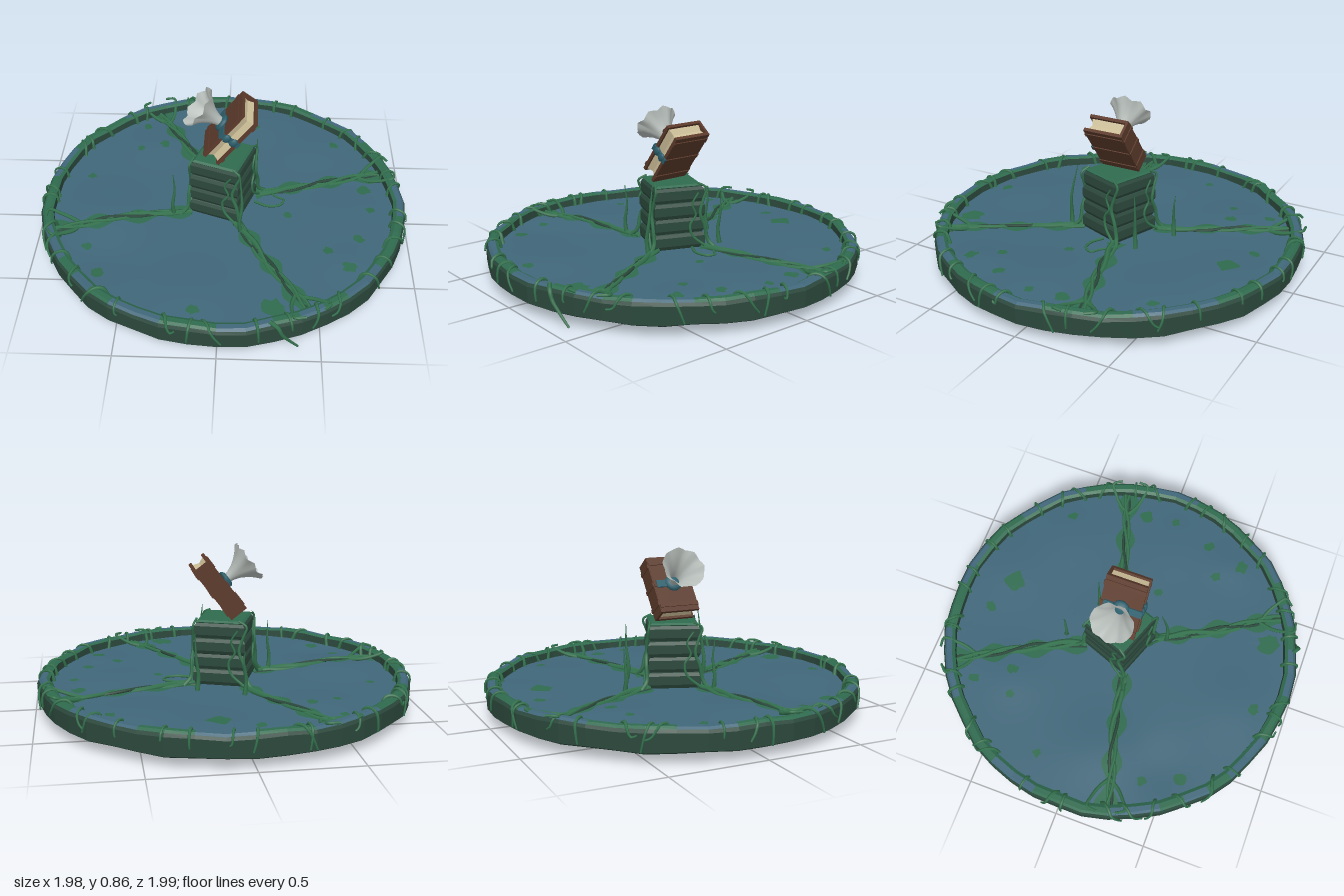
import * as THREE from 'three';

const mat = (name, color, double) => {
  const m = new THREE.MeshStandardMaterial({ color });
  m.name = name;
  if (double) m.side = THREE.DoubleSide;
  return m;
};

// small seeded generator
let seed = 7;
const rnd = (a = 0, b = 1) => {
  seed = (seed * 16807) % 2147483647;
  return a + (b - a) * seed / 2147483647;
};

const V = (x, y, z) => new THREE.Vector3(x, y, z);

// move every vertex by a rule, then facet if wanted
function warp(g, rule, faceted) {
  const p = g.attributes.position, v = new THREE.Vector3();
  for (let i = 0; i < p.count; i++) {
    rule(v.fromBufferAttribute(p, i));
    p.setXYZ(i, v.x, v.y, v.z);
  }
  const out = faceted ? g.toNonIndexed() : g;
  out.computeVertexNormals();
  return out;
}

// tube narrowing from r0 to r1
function taperTube(points, r0, r1, steps = points.length * 5) {
  const curve = new THREE.CatmullRomCurve3(points), sides = 5;
  const g = new THREE.TubeGeometry(curve, steps, 1, sides, false);
  const p = g.attributes.position;
  for (let i = 0; i <= steps; i++) {
    const c = curve.getPointAt(i / steps), r = r0 + (r1 - r0) * i / steps;
    for (let j = 0; j <= sides; j++) {
      const k = i * (sides + 1) + j;
      p.setXYZ(k, c.x + (p.getX(k) - c.x) * r, c.y + (p.getY(k) - c.y) * r, c.z + (p.getZ(k) - c.z) * r);
    }
  }
  return g;
}

const lathe = (pts, segs, start, len) =>
  new THREE.LatheGeometry(pts.map(p => new THREE.Vector2(...p)), segs, start, len);

// gently swollen slab surface: x, z, radius, height
const swells = [[-0.62, 0.1, 0.2, 0.018], [-0.4, -0.5, 0.16, 0.014], [0.2, -0.75, 0.2, 0.014], [0.5, -0.5, 0.2, 0.012],
  [0.65, 0.1, 0.22, 0.012], [-0.15, 0.7, 0.2, 0.014], [-0.6, 0.45, 0.14, -0.012], [0.65, 0.45, 0.12, 0.014]];
const ground = (x, z) => swells.reduce((y, [a, b, r, h]) =>
  y + h * Math.exp(-((x - a) ** 2 + (z - b) ** 2) / (r * r)), 0.128);

export function createModel() {
  seed = 7;
  const root = new THREE.Group();
  const slab = mat('slab blue', 0x40677a, true), stone = mat('dark stone', 0x2c493d), moss = mat('moss', 0x2f6b4f),
    vine = mat('vine green', 0x35744f), teal = mat('teal metal', 0x2c5f6c), leather = mat('book leather', 0x5c3a2b),
    paper = mat('paper', 0xcdbf98), petal = mat('horn grey', 0xb9c0bc, true);
  const add = (name, g, m, parent = root) => {
    const mesh = new THREE.Mesh(g, m);
    mesh.name = name;
    parent.add(mesh);
    return mesh;
  };

  // round slab floor
  add('floor', warp(new THREE.RingGeometry(0.05, 0.935, 72, 18).rotateX(-Math.PI / 2),
    v => { v.y = ground(v.x, v.z); }), slab);

  // stone rim: dark walls and a mottled cap
  const rough = v => {
    const a = Math.atan2(v.x, v.z), k = 1 + 0.004 * Math.sin(a * 17) + 0.004 * Math.sin(a * 9 + 1);
    v.x *= k; v.z *= k;
    v.y += 0.004 * Math.sin(a * 13 + v.y * 20);
  };
  const SEG = 44, step = Math.PI * 2 / SEG;
  add('rimOuterWall', warp(lathe([[0.922, 0.056], [0.965, 0.053], [0.98, 0.062], [0.983, 0.15], [0.974, 0.166]], SEG), rough, true), stone);
  add('rimInnerWall', warp(lathe([[0.918, 0.168], [0.915, 0.12], [0.922, 0.056]], SEG), rough, true), stone);
  for (let i = 0; i < SEG; i++) {
    const outer = (i % 5 < 2 || i % 7 === 3) ? slab : moss;
    add('rimCap', warp(lathe([[0.974, 0.166], [0.962, 0.177], [0.935, 0.177]], 1, i * step, step), rough, true), outer);
    add('rimCapEdge', warp(lathe([[0.935, 0.177], [0.918, 0.168]], 1, i * step, step), rough, true), moss);
  }

  // vines wrapped over the rim
  for (let i = 0; i < 38; i++) {
    const a = i / 38 * Math.PI * 2 + rnd(-0.07, 0.07), skew = rnd(-0.09, 0.09), end = rnd(0.06, 0.15);
    const at = (r, y, t) => V(r * Math.sin(a + skew * t), y, r * Math.cos(a + skew * t));
    add('rimVine', taperTube([at(0.905, 0.125, -0.3), at(0.92, 0.177, 0), at(0.95, 0.184, 0.3),
      at(0.98, 0.168, 0.5), at(0.989, 0.13, 0.8), at(0.987, end, 1.2)], rnd(0.008, 0.012), 0.005, 14), vine);
  }
  add('hangingVine', taperTube([V(0.25, 0.18, 0.92), V(0.29, 0.165, 0.945), V(0.31, 0.12, 0.945), V(0.34, 0.07, 0.93),
    V(0.39, 0.005, 0.91)], 0.012, 0.006), vine);

  // four root spokes growing from the pedestal corners to the rim
  const spokes = [[-0.08, -0.17, -0.42, -0.86], [0.17, -0.08, 0.9, -0.27], [0.08, 0.17, 0.45, 0.83], [-0.17, 0.08, -0.89, 0.25]];
  spokes.forEach(([x0, z0, x1, z1], s) => {
    const len = Math.hypot(x1 - x0, z1 - z0), nx = -(z1 - z0) / len, nz = (x1 - x0) / len;
    const on = (t, off, up = 0) => {
      const x = x0 + (x1 - x0) * t + nx * off, z = z0 + (z1 - z0) * t + nz * off;
      return V(x, ground(x, z) + up, z);
    };
    for (let k = 0; k < 3; k++) {
      const pts = [];
      for (let i = 0; i <= 8; i++)
        pts.push(on(i / 8, 0.016 * Math.sin(i * 1.3 + k * 2.1 + s) + 0.012 * Math.sin(i * 0.6), 0.004 + 0.006 * Math.sin(i + k * 2)));
      add('rootSpoke', taperTube(pts, [0.017, 0.012, 0.009][k], 0.009), k === 2 ? stone : vine);
    }
    // forked tip hooked over the rim
    for (const side of [-1, 1])
      add('rootFork', taperTube([on(0.8, 0), on(0.87, side * 0.05, 0.012), on(0.94, side * 0.08, 0.03),
        on(1.02, side * 0.1, 0.054), on(1.05, side * 0.05, 0.054)], 0.012, 0.007), vine);
    // mossy border of irregular width
    const edge = new THREE.PlaneGeometry(1, 1, 28, 4).rotateX(-Math.PI / 2);
    add('rootMoss', warp(edge, v => {
      const t = v.x + 0.5, w = 0.035 + 0.022 * Math.sin(t * 21 + s * 2) + 0.05 * Math.max(0, t - 0.75);
      v.copy(on(t, v.z * 2 * w, 0.003));
    }), moss);
    // climbing vine up the pedestal corner
    const c = (k, y, turn = 0) => V(x0 * k - z0 * turn, y, z0 * k + x0 * turn);
    add('cornerVine', taperTube([c(1.35, 0.13), c(1.12, 0.17), c(1.05, 0.25, 0.06), c(0.95, 0.32, 0.15),
      c(1, 0.39, 0.06), c(1.05, 0.45, -0.03), c(0.85, 0.478, 0.1)], 0.012, 0.006), vine);
    add('faceVine', taperTube([c(1.1, 0.14, 0.1), c(0.8, 0.2, 0.32), c(0.74, 0.26, 0.35), c(0.85, 0.31, 0.22),
      c(0.78, 0.37, 0.3), c(0.9, 0.43, 0.16)], 0.008, 0.005), vine);
  });

  // moss patches lying on the floor: x, z, radius
  for (const [x, z, r] of [[0.13, -0.69, 0.06], [-0.06, -0.76, 0.03], [-0.5, -0.46, 0.025], [-0.36, -0.5, 0.03], [0.63, -0.53, 0.03],
    [0.66, 0.5, 0.04], [0.55, 0.38, 0.03], [-0.62, 0.57, 0.035], [-0.7, 0.38, 0.025], [0.27, 0.78, 0.06], [0.8, 0.05, 0.025],
    [-0.75, -0.2, 0.025], [0.78, -0.12, 0.04], [0.35, 0.1, 0.025], [-0.12, 0.82, 0.03], [-0.48, -0.68, 0.03], [0.72, 0.28, 0.03]]) {
    add('mossPatch', warp(new THREE.CircleGeometry(r, 14).rotateX(-Math.PI / 2), v => {
      const k = Math.hypot(v.x, v.z) > r * 0.5 ? rnd(0.65, 1.2) : 1;
      v.x = x + v.x * k; v.z = z + v.z * k;
      v.y = ground(v.x, v.z) + 0.004;
    }), moss);
  }

  // loose coil and upright shoots around the pedestal
  add('coilVine', taperTube([V(0.17, 0.14, 0), V(0.24, 0.14, 0.035), V(0.31, 0.14, 0.025), V(0.33, 0.14, -0.02),
    V(0.29, 0.14, -0.045), V(0.24, 0.14, -0.09), V(0.19, 0.14, -0.1)], 0.008, 0.005), vine);
  for (const [x, z, top, dx, dz] of [[-0.26, 0.11, 0.41, 0, 0.01], [-0.06, -0.3, 0.36, 0, -0.005],
    [0.17, -0.19, 0.43, 0.01, 0], [0.1, 0.235, 0.49, -0.01, -0.035]])
    add('shoot', taperTube([V(x, 0.12, z), V(x - 0.008, 0.2, z + 0.006), V(x + 0.004, 0.3, z), V(x + dx, top, z + dz)],
      0.014, 0.002), vine);

  // pedestal: four swollen stone courses, turned so its corners meet the roots
  const prof = [[0, 0.115], [0.17, 0.115]];
  for (let i = 0; i < 4; i++) {
    const y = 0.13 + i * 0.083, w = [0.196, 0.19, 0.195, 0.188][i];
    prof.push([w - 0.013, y], [w, y + 0.018], [w, y + 0.064], [w - 0.013, y + 0.08]);
  }
  add('pedestal', warp(lathe(prof, 4, 0.43), () => {}, true), stone);
  add('pedestalTop', warp(lathe([[0.175, 0.459], [0.18, 0.464], [0.165, 0.473], [0, 0.473]], 4, 0.43), () => {}, true), moss);

  // floating book tilted over the pedestal; spine at the back
  const book = new THREE.Group();
  book.name = 'book';
  book.position.set(0.037, 0.633, 0.003);
  book.rotation.z = -0.655;
  root.add(book);
  const box = (name, w, h, d, x, y, z, m) => add(name, new THREE.BoxGeometry(w, h, d), m, book).position.set(x, y, z);
  for (const s of [-1, 1]) {
    box('cover', 0.018, 0.325, 0.215, s * 0.042, 0, 0, leather);
    for (const y of [-0.125, 0, 0.125]) box('coverBand', 0.006, 0.022, 0.218, s * 0.053, y, 0, leather);
  }
  box('spine', 0.1, 0.325, 0.014, 0, 0, -0.105, leather);
  for (const y of [-0.11, 0, 0.11]) box('spineBand', 0.102, 0.02, 0.008, 0, y, -0.113, leather);
  // page block with hollowed edges
  add('pages', warp(new THREE.BoxGeometry(0.07, 0.3, 0.195, 4, 1, 1), v => {
    const dip = 0.012 * (1 - Math.abs(v.x) / 0.035);
    v.y -= Math.sign(v.y) * dip;
    if (v.z > 0) v.z -= dip;
  }, true), paper, book);

  // clasp on the page side and strap up to the horn
  box('claspStrap', 0.112, 0.03, 0.012, 0, 0, 0.108, teal);
  for (const s of [-1, 1]) {
    const knob = add('claspKnob', new THREE.SphereGeometry(0.021, 10, 8), teal, book);
    knob.position.set(s * 0.022, 0, 0.11);
    knob.scale.set(1, 1.2, 0.6);
  }
  box('hornStrap', 0.008, 0.04, 0.21, -0.056, 0, 0.01, teal);

  // flared horn with a scalloped mouth
  const horn = new THREE.Group();
  horn.name = 'horn';
  horn.rotation.z = Math.PI / 2;
  book.add(horn);
  add('hornCollar', lathe([[0, 0.05], [0.045, 0.05], [0.046, 0.064], [0.032, 0.074], [0, 0.076]], 16), teal, horn);
  add('hornBell', warp(lathe([[0.024, 0.066], [0.028, 0.09], [0.042, 0.125], [0.064, 0.16], [0.088, 0.19], [0.114, 0.215]], 32), v => {
    const a = Math.atan2(v.x, v.z), f = Math.max(0, (v.y - 0.1) / 0.115);
    v.y += 0.01 * f * f * Math.cos(a * 8);
  }), petal, horn);

  return root;
}
